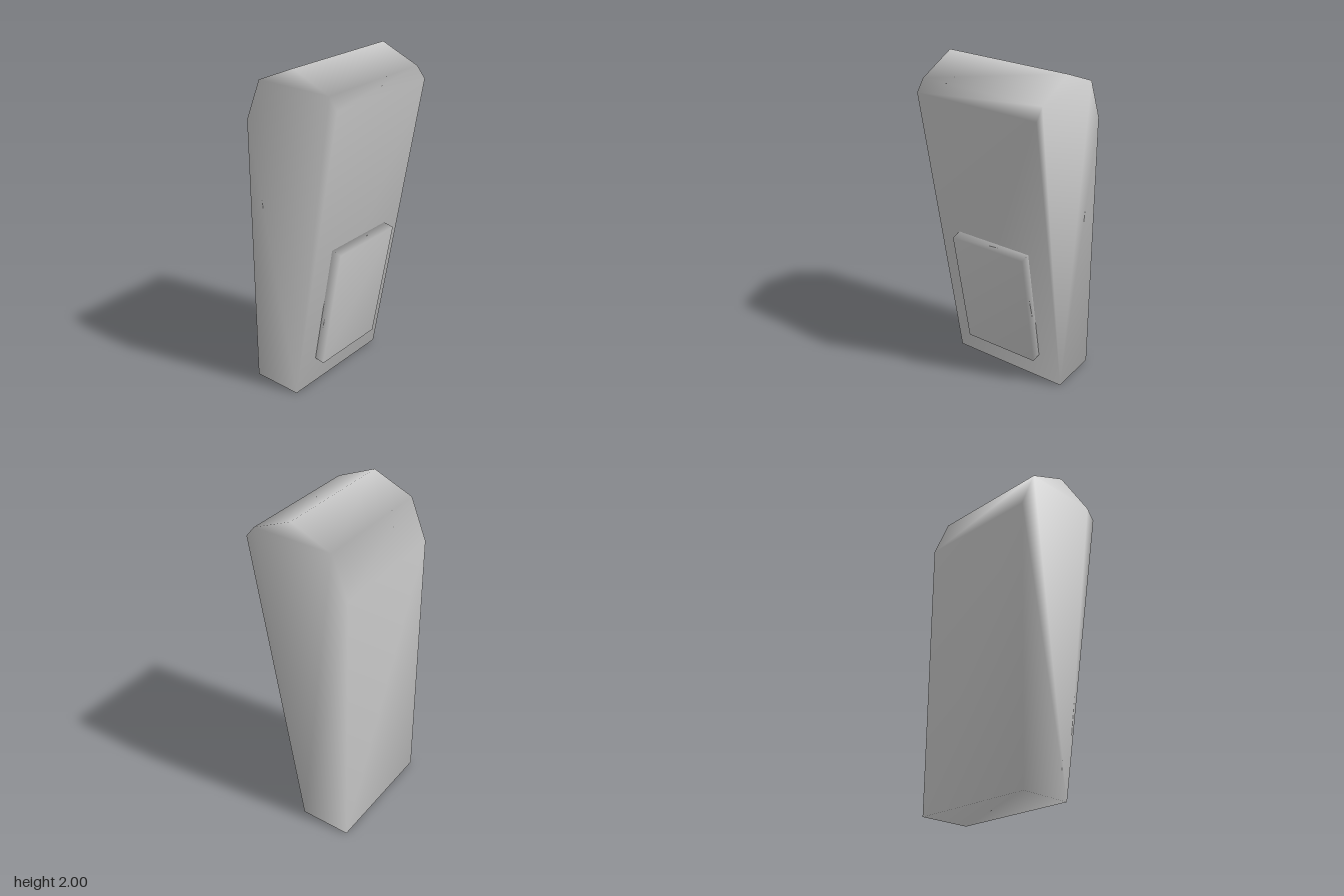
import * as THREE from 'three';
import { mergeVertices } from 'three/addons/utils/BufferGeometryUtils.js';

const material = new THREE.MeshStandardMaterial({ color: 0xcccccc });

// Side profile of [z, y] points, extruded across x, with normals shared over all edges
function slab(name, profile, width) {
  const shape = new THREE.Shape(profile.map(([z, y]) => new THREE.Vector2(z, y)));
  let geometry = new THREE.ExtrudeGeometry(shape, { depth: width, bevelEnabled: false });
  geometry.rotateY(-Math.PI / 2).translate(width / 2, 0, 0);
  geometry.deleteAttribute('normal');
  geometry.deleteAttribute('uv');
  geometry = mergeVertices(geometry, 1e-4);
  geometry.computeVertexNormals();
  const mesh = new THREE.Mesh(geometry, material);
  mesh.name = name;
  return mesh;
}

export function createModel() {
  const model = new THREE.Group();
  model.name = 'taperedBlock';

  // Body: upright back, front leaning outwards, faceted crown
  model.add(slab('body', [
    [0, 0], [0.318, 1.835], [0.265, 1.9], [0.027, 2],
    [-0.215, 1.9], [-0.315, 1.66], [-0.315, 0],
  ], 0.76));

  // Raised panel lying on the sloping front
  model.add(slab('frontPanel', [
    [0.03, 0.196], [0.095, 0.185], [0.23, 0.951], [0.165, 0.963],
  ], 0.484));

  return model;
}
